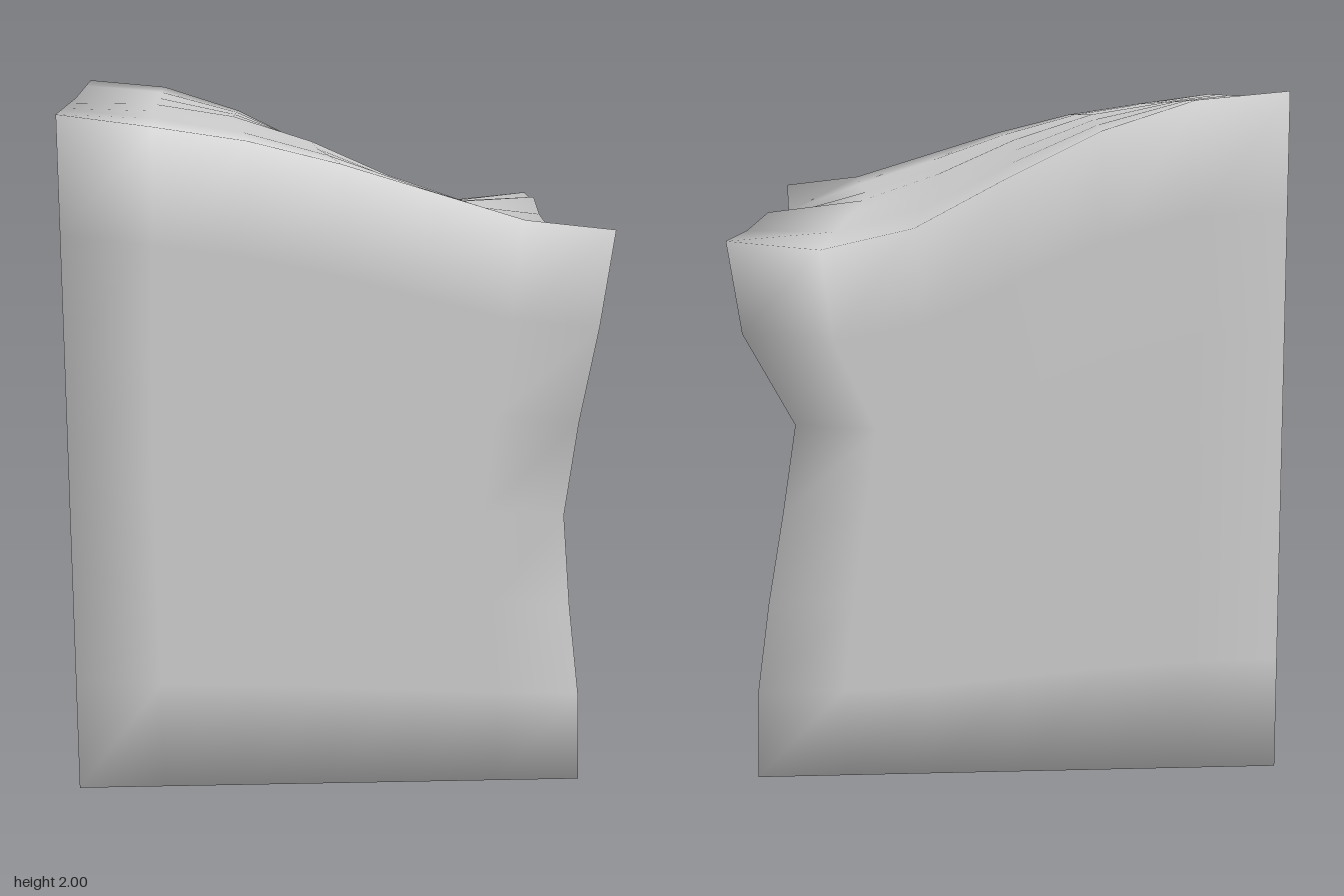
import * as THREE from 'three';
import { mergeVertices } from 'three/addons/utils/BufferGeometryUtils.js';

const SEG = 6;

// Right wall x: rows run bottom to top, columns front to back
const RIGHT_X = [
  [0.705, 0.68, 0.645, 0.63, 0.645, 0.69, 0.725],
  [0.695, 0.66, 0.62, 0.61, 0.63, 0.69, 0.72],
  [0.66, 0.61, 0.57, 0.56, 0.58, 0.64, 0.685],
  [0.635, 0.55, 0.51, 0.50, 0.52, 0.58, 0.64],
  [0.67, 0.53, 0.47, 0.46, 0.48, 0.53, 0.60],
  [0.72, 0.68, 0.65, 0.63, 0.60, 0.66, 0.745],
  [0.757, 0.73, 0.69, 0.69, 0.72, 0.755, 0.785],
];

// Top height: rows run left to right, columns front, middle, back
const TOP_Y = [
  [2.0, 1.98, 1.98],
  [1.965, 1.96, 1.955],
  [1.925, 1.92, 1.87],
  [1.86, 1.84, 1.74],
  [1.78, 1.73, 1.60],
  [1.70, 1.645, 1.54],
];
// Rippled lip where the top meets the right wall, front to back
const LIP_Y = [1.67, 1.585, 1.57, 1.60, 1.62, 1.58, 1.565];

function topHeight(i, k) {
  if (i === SEG) return LIP_Y[k];
  const [front, middle, back] = TOP_Y[i];
  const t = k / 3;
  return t < 1 ? THREE.MathUtils.lerp(front, middle, t) : THREE.MathUtils.lerp(middle, back, t - 1);
}

function createBlock() {
  const geometry = new THREE.BoxGeometry(1, 1, 1, SEG, SEG, SEG);
  // One shared normal per corner keeps the edges softly shaded
  geometry.deleteAttribute('normal');
  geometry.deleteAttribute('uv');
  const block = mergeVertices(geometry, 1e-4);
  const p = block.attributes.position;
  for (let n = 0; n < p.count; n++) {
    const i = Math.round((p.getX(n) + 0.5) * SEG); // left to right
    const j = Math.round((p.getY(n) + 0.5) * SEG); // bottom to top
    const k = Math.round((0.5 - p.getZ(n)) * SEG); // front to back
    const u = i / SEG, v = j / SEG, w = k / SEG;
    const base = 0.02 * (1 - u);
    const x = THREE.MathUtils.lerp(-0.79, RIGHT_X[j][k], u);
    const y = THREE.MathUtils.lerp(base, topHeight(i, k), v);
    const z = THREE.MathUtils.lerp(0.805, -0.808, w);
    p.setXYZ(n, x, y, z);
  }
  block.computeVertexNormals();
  return block;
}

export function createModel() {
  const group = new THREE.Group();
  group.name = 'stoneBlock';
  const stone = new THREE.MeshStandardMaterial({ color: 0xcccccc });
  stone.name = 'stone grey';
  const body = new THREE.Mesh(createBlock(), stone);
  body.name = 'weatheredBlock';
  group.add(body);
  return group;
}
